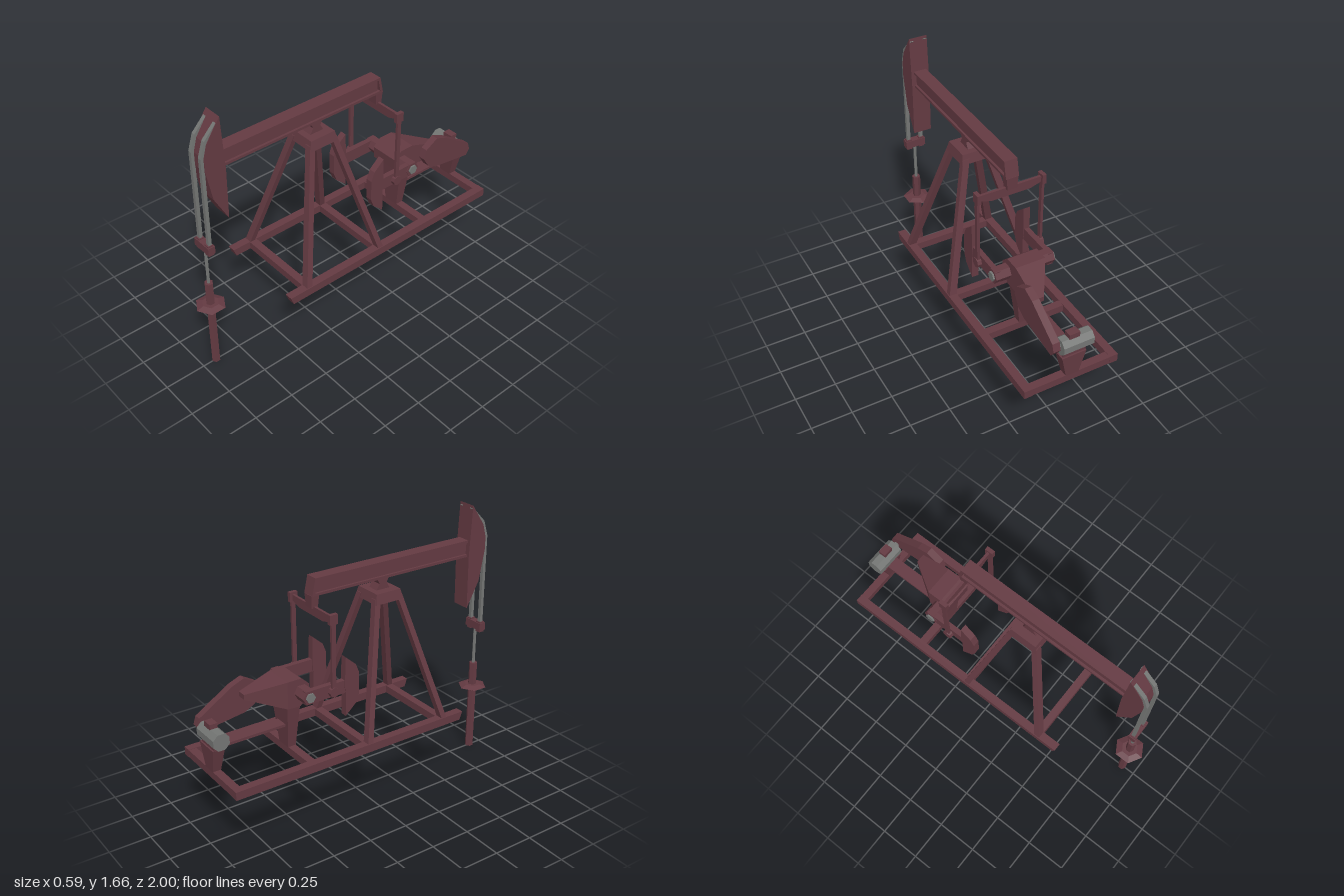
import * as THREE from 'three';

const red = new THREE.MeshStandardMaterial({ color: 0x643a42, flatShading: true, side: THREE.DoubleSide });
const grey = new THREE.MeshStandardMaterial({ color: 0x747674, flatShading: true, side: THREE.DoubleSide });

export function createModel() {
  const model = new THREE.Group();

  function add(name, geometry, material = red) {
    const mesh = new THREE.Mesh(geometry, material);
    mesh.name = name;
    model.add(mesh);
    return mesh;
  }
  // Box given by its limits on each axis
  function box(name, [x0, x1], [y0, y1], [z0, z1], material) {
    const g = new THREE.BoxGeometry(x1 - x0, y1 - y0, z1 - z0);
    g.translate((x0 + x1) / 2, (y0 + y1) / 2, (z0 + z1) / 2);
    return add(name, g, material);
  }
  // Four-sided prism between two level rectangles [x, y, z, width, depth]
  function taper(name, low, high, material) {
    const g = new THREE.BoxGeometry(1, 1, 1), p = g.attributes.position;
    for (let i = 0; i < p.count; i++) {
      const [x, y, z, w, d] = p.getY(i) > 0 ? high : low;
      p.setXYZ(i, x + p.getX(i) * w, y, z + p.getZ(i) * d);
    }
    g.computeVertexNormals();
    return add(name, g, material);
  }
  // Side profile of [z, y] points extruded from x0 to x1
  function sideGeometry(points, x0, x1) {
    const shape = new THREE.Shape(points.map(([z, y]) => new THREE.Vector2(-z, y)));
    const g = new THREE.ExtrudeGeometry(shape, { depth: x1 - x0, bevelEnabled: false });
    return g.rotateY(Math.PI / 2).translate(x0, 0, 0);
  }
  const side = (name, points, x0, x1, material) => add(name, sideGeometry(points, x0, x1), material);
  // Cylinder lying along x
  function axle(name, x0, x1, y, z, r, sides, material) {
    const g = new THREE.CylinderGeometry(r, r, Math.abs(x1 - x0), sides);
    g.rotateZ(Math.PI / 2).translate((x0 + x1) / 2, y, z);
    return add(name, g, material);
  }
  // Upright cylinder on the well axis
  const wellZ = 0.913;
  function upright(name, y0, y1, rLow, rHigh, sides, material, x = 0) {
    const g = new THREE.CylinderGeometry(rHigh, rLow, y1 - y0, sides);
    g.translate(x, (y0 + y1) / 2, wellZ);
    return add(name, g, material);
  }

  // Skid base
  for (const s of [-1, 1]) {
    const x = s * 0.27;
    side('baseRail', [[0.557, 0.43], [0.575, 0.48], [-0.975, 0.48], [-0.975, 0.43]], x - 0.025, x + 0.025);
  }
  for (const z of [0.433, -0.103, -0.475, -0.95])
    box('baseCrossbar', [-0.25, 0.25], [0.432, 0.478], [z - 0.024, z + 0.024]);

  // Four-legged tower with its cap and saddle bearing
  for (const s of [-1, 1]) {
    taper('towerLeg', [s * 0.268, 0.475, 0.438, 0.046, 0.036], [s * 0.07, 1.25, 0.24, 0.04, 0.036]);
    taper('towerLeg', [s * 0.268, 0.475, -0.1, 0.046, 0.036], [s * 0.07, 1.25, 0.09, 0.04, 0.036]);
  }
  taper('towerCap', [0, 1.22, 0.165, 0.2, 0.19], [0, 1.28, 0.165, 0.175, 0.165]);
  side('saddleBearing', [[0.21, 1.28], [0.19, 1.315], [0.205, 1.345], [0.125, 1.345], [0.14, 1.315], [0.12, 1.28]], -0.035, 0.035);

  // Walking beam with an I section and a closed rear end
  box('beamWeb', [-0.026, 0.026], [1.35, 1.435], [-0.285, 0.785]);
  side('beamTopFlange', [[0.785, 1.43], [0.785, 1.445], [-0.292, 1.445], [-0.295, 1.43]], -0.04, 0.04);
  side('beamBottomFlange', [[0.785, 1.343], [0.785, 1.358], [-0.31, 1.358], [-0.314, 1.343]], -0.04, 0.04);
  side('beamEndPlate', [[-0.275, 1.445], [-0.292, 1.445], [-0.314, 1.343], [-0.297, 1.343]], -0.04, 0.04);
  taper('beamHanger', [0, 1.27, -0.293, 0.06, 0.04], [0, 1.345, -0.291, 0.07, 0.05]);

  // Curved head at the front of the beam
  side('beamHead', [[0.795, 1.66], [0.882, 1.53], [0.904, 1.45], [0.904, 1.37], [0.868, 1.18],
    [0.783, 1.02], [0.779, 1.34]], -0.057, 0.057);

  // Hanging cables, carrier bar and rod
  for (const s of [-1, 1]) {
    side('headCable', [[0.922, 0.87], [0.922, 1.455], [0.892, 1.55], [0.8, 1.645], [0.79, 1.64],
      [0.875, 1.535], [0.902, 1.45], [0.902, 0.87]], s * 0.042 - 0.011, s * 0.042 + 0.011, grey);
    box('carrierClamp', [s * 0.042 - 0.017, s * 0.042 + 0.017], [0.83, 0.898], [wellZ - 0.017, wellZ + 0.017]);
  }
  box('carrierBar', [-0.065, 0.065], [0.842, 0.89], [wellZ - 0.022, wellZ + 0.022]);
  upright('polishedRod', 0.58, 0.85, 0.01, 0.01, 6, grey);

  // Well pipe and flange
  upright('wellPipe', 0, 0.6, 0.026, 0.026, 6);
  upright('flangeTop', 0.438, 0.452, 0.09, 0.05, 6);
  upright('flangeBottom', 0.428, 0.438, 0.07, 0.09, 6);

  // Equalizer bar, tapering to its ends
  const bar = new THREE.Shape([[-0.2, 1.28], [-0.2, 1.25], [-0.12, 1.225], [0.12, 1.225], [0.2, 1.25], [0.2, 1.28]]
    .map(([x, y]) => new THREE.Vector2(x, y)));
  add('equalizerBar', new THREE.ExtrudeGeometry(bar, { depth: 0.016, bevelEnabled: false }).translate(0, 0, -0.3));

  // Pitman arms, cranks and counterweights on both sides
  const shaftY = 0.83, shaftZ = -0.433, pinZ = -0.29;
  for (const s of [-1, 1]) {
    const span = (a, b) => (s > 0 ? [a, b] : [-b, -a]);
    box('pitmanArm', span(0.192, 0.208), [0.83, 1.28], [pinZ - 0.013, pinZ + 0.013]);
    box('pitmanTop', span(0.188, 0.212), [1.235, 1.293], [pinZ - 0.025, pinZ + 0.025]);
    axle('pitmanEye', s * 0.187, s * 0.213, shaftY, pinZ, 0.03, 8);
    axle('crankPin', s * 0.16, s * 0.2, shaftY, pinZ, 0.015, 8);
    box('crankArm', span(0.15, 0.182), [0.79, 0.868], [-0.46, -0.19]);
    side('counterweight', [[-0.198, 1.01], [-0.13, 0.95], [-0.108, 0.893], [-0.108, 0.763], [-0.13, 0.708],
      [-0.2, 0.645], [-0.198, 0.79], [-0.205, 0.83]], ...span(0.145, 0.186));
    axle('shaftHub', s * 0.08, s * 0.186, shaftY, shaftZ, 0.046, 6);
    axle('shaftNut', s * 0.18, s * 0.196, shaftY, shaftZ, 0.03, 6, grey);
  }

  // Gearbox, its tail narrowing toward the belt guard, and its pedestal
  side('gearbox', [[-0.38, 0.865], [-0.43, 0.91], [-0.52, 0.91], [-0.52, 0.745], [-0.44, 0.742], [-0.385, 0.79]], -0.094, 0.092);
  const tail = sideGeometry([[-0.52, 0.91], [-0.72, 0.84], [-0.72, 0.81], [-0.52, 0.745]], -0.094, 0.092);
  const p = tail.attributes.position;
  for (let i = 0; i < p.count; i++)
    if (p.getZ(i) < -0.6 && p.getX(i) < 0) p.setX(i, 0.035);
  tail.computeVertexNormals();
  add('gearboxTail', tail);
  taper('gearboxPedestal', [0, 0.475, -0.475, 0.095, 0.05], [0, 0.77, -0.477, 0.172, 0.085]);

  // Belt guard
  side('beltGuard', [[-0.583, 0.8], [-0.6, 0.86], [-0.685, 0.91], [-0.76, 0.88], [-0.97, 0.748],
    [-0.985, 0.7], [-0.96, 0.662], [-0.69, 0.7], [-0.625, 0.735]], 0.09, 0.134);

  // Motor on its stand, tied to the gearbox pedestal
  const motor = axle('motor', -0.113, 0.075, 0, 0, 0.053, 8, grey);
  motor.rotation.x = Math.PI / 8;
  motor.position.set(0, 0.688, -0.948);
  axle('motorShaft', 0.07, 0.1, 0.7, -0.945, 0.018, 6, grey);
  box('motorTerminalBox', [-0.035, 0.03], [0.73, 0.765], [-0.972, -0.925]);
  taper('motorStand', [0, 0.475, -0.95, 0.08, 0.05], [0, 0.625, -0.947, 0.15, 0.074]);
  box('motorFoot', [-0.075, 0.065], [0.62, 0.65], [-0.975, -0.92]);
  box('tiePlate', [-0.04, 0.04], [0.61, 0.626], [-0.93, -0.48]);

  return model;
}
